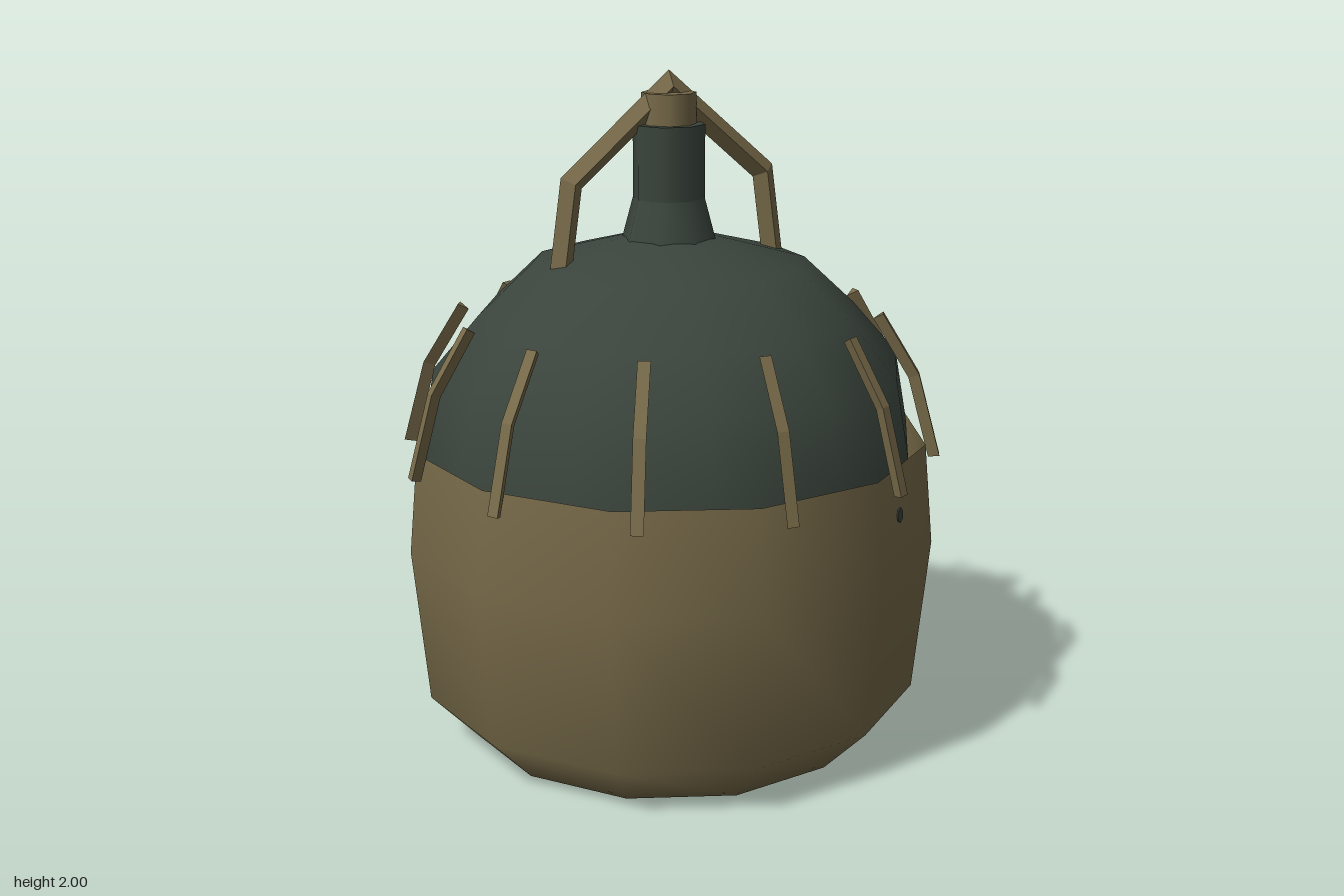
import * as THREE from 'three';

const RAD = Math.PI / 180;
const SIDES = 12;

// Sweeps a closed [normal, sideways] section along an upright [x, y] path with mitred corners
function sweepBar(path, section) {
  const pts = path.map(([x, y]) => new THREE.Vector2(x, y));
  const dirs = pts.slice(1).map((p, i) => p.clone().sub(pts[i]).normalize());
  const rings = pts.map((p, i) => {
    const a = dirs[Math.max(i - 1, 0)];
    const b = dirs[Math.min(i, dirs.length - 1)];
    const t = a.clone().add(b).normalize();
    const mitre = 1 / t.dot(b);
    return section.map(([n, s]) => [p.x + t.y * n * mitre, p.y - t.x * n * mitre, s]);
  });
  const out = [];
  const tri = (a, b, c) => out.push(...a, ...b, ...c);
  const m = section.length;
  for (let i = 0; i < rings.length - 1; i++) {
    for (let j = 0; j < m; j++) {
      const k = (j + 1) % m;
      tri(rings[i][j], rings[i][k], rings[i + 1][k]);
      tri(rings[i][j], rings[i + 1][k], rings[i + 1][j]);
    }
  }
  const first = rings[0];
  const last = rings[rings.length - 1];
  for (let j = 1; j < m - 1; j++) {
    tri(first[0], first[j + 1], first[j]);
    tri(last[0], last[j], last[j + 1]);
  }
  const geo = new THREE.BufferGeometry();
  geo.setAttribute('position', new THREE.Float32BufferAttribute(out, 3));
  geo.computeVertexNormals();
  return geo;
}

function lathe(profile, sides, startDegrees) {
  const points = profile.map(([r, y]) => new THREE.Vector2(r, y));
  return new THREE.LatheGeometry(points, sides, startDegrees * RAD);
}

export function createModel() {
  const model = new THREE.Group();
  model.name = 'roundVessel';

  const olive = new THREE.MeshStandardMaterial({ color: 0x776a49, side: THREE.DoubleSide });
  olive.name = 'olive';
  const darkGreen = new THREE.MeshStandardMaterial({ color: 0x3a443c, side: THREE.DoubleSide });
  darkGreen.name = 'dark green';

  const add = (name, geometry, material, parent = model) => {
    const mesh = new THREE.Mesh(geometry, material);
    mesh.name = name;
    parent.add(mesh);
    return mesh;
  };

  // Barrel-shaped lower body, open at the rim
  add('lowerBody', lathe([[0, 0], [0.61, 0], [0.755, 0.15], [0.8, 0.62], [0.772, 0.92]], SIDES, -5.5), olive);

  // Dome set just inside the rim
  add('dome', lathe([[0.75, 0.8], [0.74, 0.92], [0.7, 1.14], [0.565, 1.295], [0.41, 1.44], [0.13, 1.515], [0, 1.515]], SIDES, 15), darkGreen);

  // Neck with flared foot, and its cap
  add('neckFlare', lathe([[0.145, 1.49], [0.107, 1.63]], 8, 10), darkGreen);
  add('neck', lathe([[0.107, 1.63], [0.107, 1.845]], 8, 10), darkGreen);
  add('neckTop', lathe([[0.107, 1.845], [0, 1.845]], 8, 10), darkGreen);
  const cap = add('cap', new THREE.CylinderGeometry(0.08, 0.08, 0.1, 8), olive);
  cap.position.y = 1.885;
  cap.rotation.y = 22.5 * RAD;

  // Arched carrying handle with a diamond section
  const h = 0.034;
  add('handle', sweepBar(
    [[0.34, 1.44], [0.305, 1.69], [0, 1.954], [-0.305, 1.69], [-0.34, 1.44]],
    [[h, 0], [0, -h], [-h, 0], [0, h]]
  ), olive);

  // Ring of bent triangular ribs around the rim
  const ribGeometry = sweepBar(
    [[0.797, 0.865], [0.73, 1.11], [0.62, 1.29]],
    [[0.016, 0.018], [0.016, -0.018], [-0.018, 0]]
  );
  const ribs = new THREE.Group();
  ribs.name = 'ribs';
  model.add(ribs);
  for (let i = 0; i < SIDES; i++) {
    add('rib', ribGeometry, olive, ribs).rotation.y = i * 30 * RAD;
  }

  // Small dark vents, a pair on each of two opposite sides
  const ventGeometry = new THREE.CylinderGeometry(0.022, 0.022, 0.009, 7);
  ventGeometry.rotateX(Math.PI / 2);
  for (const [angle, facing] of [[35.8, 39.5], [71.6, 69.5], [215.8, 219.5], [251.6, 249.5]]) {
    const vent = add('vent', ventGeometry, darkGreen);
    vent.position.set(0.759 * Math.sin(angle * RAD), 0.78, 0.759 * Math.cos(angle * RAD));
    vent.rotation.set(-5 * RAD, facing * RAD, 0, 'YXZ');
  }

  return model;
}
